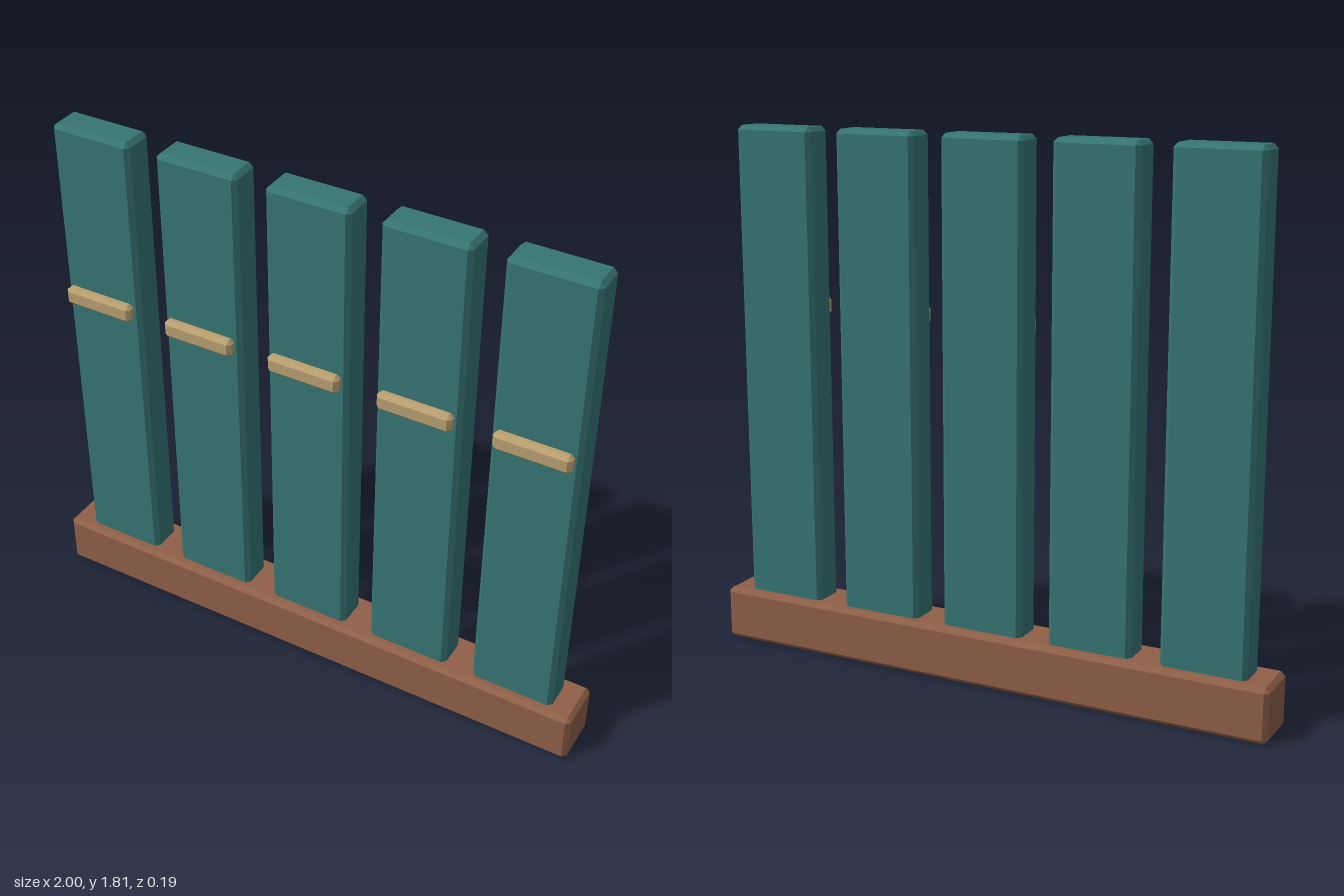
import * as THREE from 'three';
import { ConvexGeometry } from 'three/addons/geometries/ConvexGeometry.js';

// Box with every edge cut at 45 degrees, flat shaded
function chamferBox(w, h, d, c) {
  const half = [w / 2, h / 2, d / 2];
  const points = [];
  for (const sx of [-1, 1]) for (const sy of [-1, 1]) for (const sz of [-1, 1]) {
    const sign = [sx, sy, sz];
    for (let axis = 0; axis < 3; axis++) {
      points.push(new THREE.Vector3(...half.map((v, i) => sign[i] * (i === axis ? v : v - c))));
    }
  }
  return new ConvexGeometry(points);
}

export function createModel() {
  const group = new THREE.Group();
  const material = (name, color) => new THREE.MeshStandardMaterial({ name, color });
  const teal = material('teal', 0x367573);
  const brown = material('brown', 0x8f6048);
  const tan = material('tan', 0xb89f70);

  const add = (name, geometry, mat, x, y, z) => {
    const mesh = new THREE.Mesh(geometry, mat);
    mesh.name = name;
    mesh.position.set(x, y, z);
    group.add(mesh);
  };

  // Base beam
  add('base', chamferBox(2, 0.185, 0.183, 0.015), brown, 0, 0.0925, -0.002);

  // Five upright slats, each with a strip across its front
  const bottom = 0.165, top = 1.81;
  const slat = chamferBox(0.289, top - bottom, 0.117, 0.015);
  const strip = chamferBox(0.254, 0.064, 0.04, 0.013);
  for (let i = -2; i <= 2; i++) {
    const x = i * 0.387;
    add('slat', slat, teal, x, (top + bottom) / 2, -0.002);
    add('strip', strip, tan, x, 1.203, 0.074);
  }
  return group;
}
